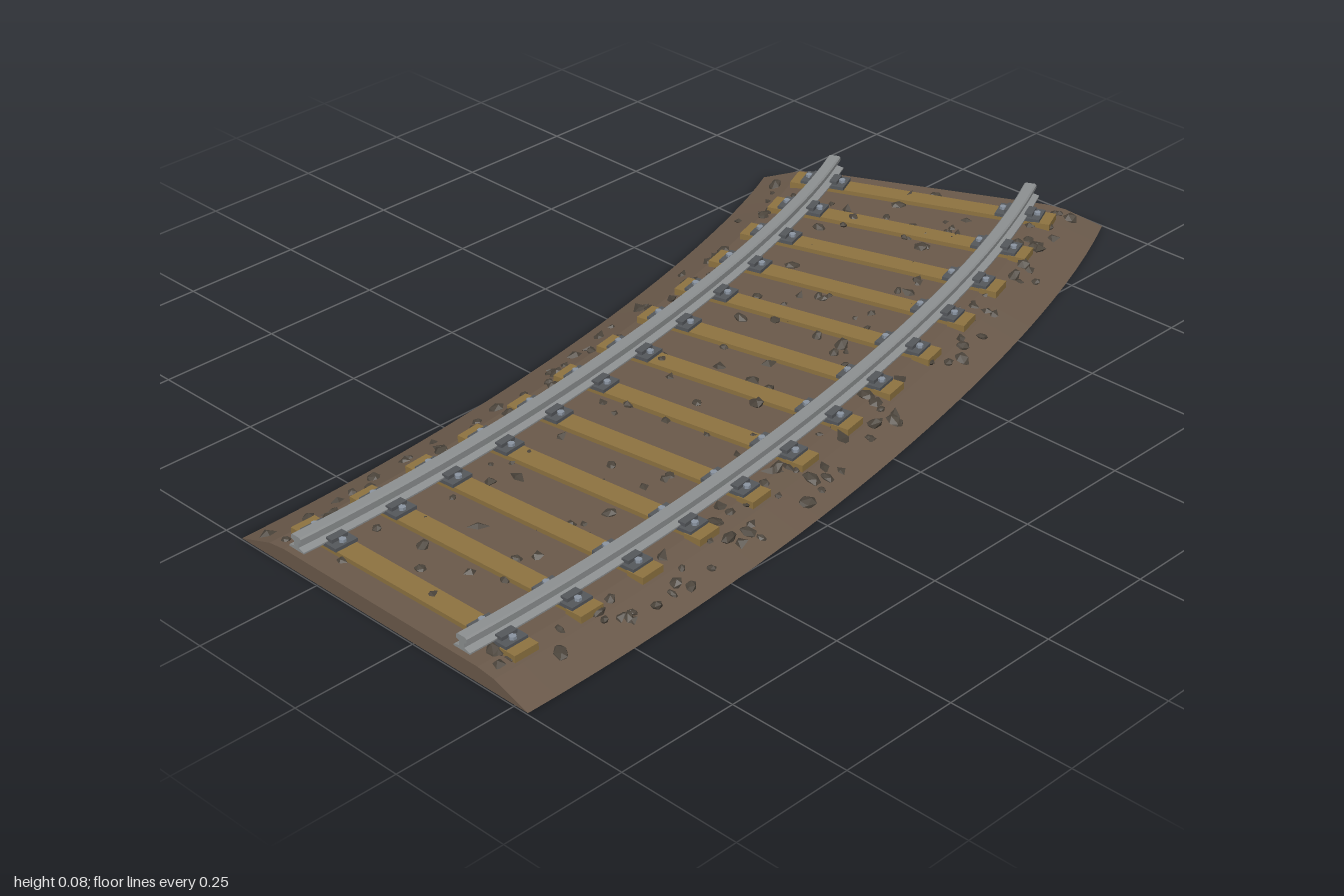
import * as THREE from 'three';
import { mergeGeometries } from 'three/addons/utils/BufferGeometryUtils.js';

const mat = (name, color, flat = true) => {
  const m = new THREE.MeshStandardMaterial({ color, flatShading: flat });
  m.name = name;
  return m;
};

// centre line of the track on the ground; the second coordinate is z
const path = new THREE.CubicBezierCurve(
  new THREE.Vector2(0.16, 0.997), new THREE.Vector2(0.16, 0.26),
  new THREE.Vector2(-0.032, -0.494), new THREE.Vector2(-0.2, -0.835));
const LENGTH = path.getLength();

// point and tangent at distance s, shifted sideways by offset
function frame(s, offset = 0) {
  const u = THREE.MathUtils.clamp(s / LENGTH, 0, 1);
  const p = path.getPointAt(u), t = path.getTangentAt(u);
  return { x: p.x - t.y * offset, z: p.y + t.x * offset, angle: Math.atan2(-t.x, -t.y) };
}

// extrude a cross-section and bend it along the centre line
function sweep(points, offset) {
  const shape = new THREE.Shape(points.map(([x, y]) => new THREE.Vector2(x, y)));
  const geo = new THREE.ExtrudeGeometry(shape, { depth: LENGTH, steps: 32, bevelEnabled: false });
  geo.translate(offset, 0, -LENGTH);
  const pos = geo.attributes.position;
  for (let i = 0; i < pos.count; i++) {
    const f = frame(-pos.getZ(i), pos.getX(i));
    pos.setXYZ(i, f.x, pos.getY(i), f.z);
  }
  geo.computeVertexNormals();
  return geo;
}

// complete a half profile, listed from bottom to top, by mirroring it
const mirror = (half) => [...half, ...half.slice().reverse().map(([x, y]) => [-x, y])];

function random(seed) {
  return () => (seed = (seed * 16807) % 2147483647) / 2147483647;
}

export function createModel() {
  const group = new THREE.Group();
  const gravel = mat('gravel brown', 0x6b5a4b);
  const stone = mat('dark stone', 0x4b443b);
  const wood = mat('sleeper wood', 0x8f7441);
  const steel = mat('rail steel', 0x8e9192);
  const iron = mat('chair iron', 0x55585c);
  const boltMetal = mat('bolt metal', 0x8b95a2);

  const add = (parent, name, geo, material, x = 0, y = 0, z = 0) => {
    const mesh = new THREE.Mesh(geo, material);
    mesh.name = name;
    mesh.position.set(x, y, z);
    parent.add(mesh);
    return mesh;
  };

  // ballast bed with sloping shoulders
  add(group, 'ballastBed',
    sweep(mirror([[0.37, 0.005], [0.29, 0.032], [0.25, 0.037]]), 0), gravel);

  // two I-section rails
  const railProfile = mirror([
    [0.02, 0.052], [0.02, 0.055], [0.006, 0.059], [0.006, 0.068],
    [0.013, 0.071], [0.013, 0.078], [0.010, 0.081]]);
  for (const side of [-1, 1]) {
    add(group, side < 0 ? 'rightRail' : 'leftRail', sweep(railProfile, side * 0.213), steel);
  }

  // sleepers, each with two chairs and their bolts
  const beamGeo = new THREE.BoxGeometry(0.56, 0.03, 0.044);
  const endGeo = new THREE.BoxGeometry(0.036, 0.032, 0.054);
  const chairGeo = new THREE.BoxGeometry(0.095, 0.007, 0.05);
  const clipGeo = new THREE.BoxGeometry(0.016, 0.008, 0.036);
  const boltGeo = new THREE.CylinderGeometry(0.007, 0.007, 0.006, 6);
  const COUNT = 13;
  for (let i = 0; i < COUNT; i++) {
    const f = frame(0.075 + (i / (COUNT - 1)) * (LENGTH - 0.145));
    const sleeper = new THREE.Group();
    sleeper.name = 'sleeper';
    sleeper.position.set(f.x, 0, f.z);
    sleeper.rotation.y = f.angle;
    add(sleeper, 'beam', beamGeo, wood, 0, 0.031, 0);
    for (const side of [-1, 1]) {
      add(sleeper, 'beamEnd', endGeo, wood, side * 0.265, 0.031, 0);
      add(sleeper, 'chair', chairGeo, iron, side * 0.213, 0.0495, 0);
      for (const k of [-1, 1]) {
        add(sleeper, 'clip', clipGeo, iron, side * 0.213 + k * 0.022, 0.056, 0);
        add(sleeper, 'bolt', boltGeo, boltMetal, side * 0.213 + k * 0.037, 0.056, 0);
      }
    }
    group.add(sleeper);
  }

  // loose stones scattered over the bed
  const rnd = random(4711);
  const stones = [];
  const dummy = new THREE.Object3D();
  for (let i = 0; i < 300; i++) {
    const shoulder = rnd() < 0.55;
    const offset = shoulder
      ? (rnd() < 0.5 ? -1 : 1) * (0.235 + 0.1 * rnd())
      : (rnd() * 2 - 1) * 0.19;
    const f = frame(0.02 + rnd() * (LENGTH - 0.04), offset);
    const a = Math.abs(offset);
    const ground = a < 0.25 ? 0.037 : a < 0.29 ? 0.034 : 0.032 - (a - 0.29) * 0.34;
    const r = 0.008 + 0.009 * rnd();
    dummy.position.set(f.x, ground, f.z);
    dummy.rotation.set(rnd() * 0.6, rnd() * 6.28, rnd() * 0.6);
    dummy.scale.set(r * (0.9 + 0.6 * rnd()), r * 0.6, r * (0.7 + 0.4 * rnd()));
    dummy.updateMatrix();
    const geo = rnd() < 0.5 ? new THREE.OctahedronGeometry(1) : new THREE.IcosahedronGeometry(1);
    stones.push(geo.applyMatrix4(dummy.matrix));
  }
  add(group, 'looseStones', mergeGeometries(stones), stone);

  return group;
}
